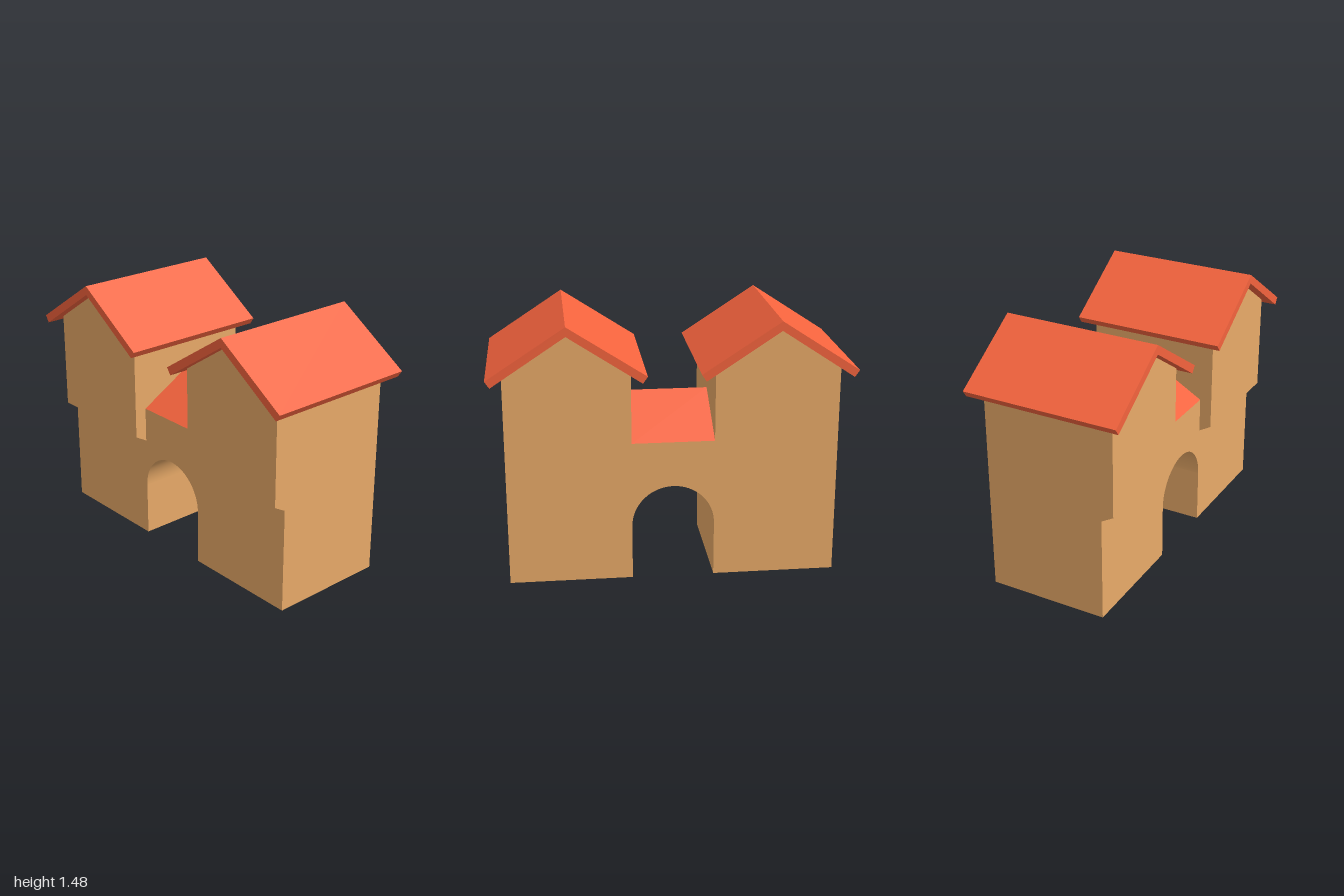
import * as THREE from 'three';
import { toCreasedNormals } from 'three/addons/utils/BufferGeometryUtils.js';

const wall = new THREE.MeshStandardMaterial({ color: 0xe8aa68 });
const tile = new THREE.MeshStandardMaterial({ color: 0xf4633d });

const BACK = -0.38, FRONT = 0.38, LOWER_FRONT = 0.31;
const INNER = 0.229, OUTER = 0.915, MID = (INNER + OUTER) / 2;

const toShape = (points) => new THREE.Shape(points.map(([x, y]) => new THREE.Vector2(x, y)));

// Extrudes an (x, y) outline from z0 to z1
function alongZ(shape, z0, z1) {
  return new THREE.ExtrudeGeometry(shape, { depth: z1 - z0, bevelEnabled: false, curveSegments: 32 })
    .translate(0, 0, z0);
}

// Extrudes a (z, y) outline from x0 to x1
function alongX(shape, x0, x1) {
  return new THREE.ExtrudeGeometry(shape, { depth: x1 - x0, bevelEnabled: false })
    .rotateY(-Math.PI / 2).translate(x1, 0, 0);
}

function add(parent, name, geometry, material) {
  const mesh = new THREE.Mesh(geometry, material);
  mesh.name = name;
  parent.add(mesh);
}

function makeTower(name, side) {
  const tower = new THREE.Group();
  tower.name = name;
  tower.position.x = side * MID;
  const h = (OUTER - INNER) / 2;

  // Lower storey, with the sloped underside of the jetty at its front
  add(tower, 'lowerStorey', alongX(toShape([
    [BACK, 0], [LOWER_FRONT, 0], [LOWER_FRONT, 0.6], [FRONT, 0.64], [BACK, 0.64],
  ]), -h, h), wall);

  // Upper storey with gable ends
  add(tower, 'upperStorey', alongZ(toShape([
    [-h, 0.64], [h, 0.64], [h, 1.2], [0, 1.425], [-h, 1.2],
  ]), BACK, FRONT), wall);

  // Overhanging roof slab bent over the ridge
  add(tower, 'gableRoof', alongZ(toShape([
    [0, 1.477], [-0.428, 1.197], [-0.402, 1.159], [0, 1.425], [0.402, 1.159], [0.428, 1.197],
  ]), -0.447, 0.447), tile);
  return tower;
}

export function createModel() {
  const model = new THREE.Group();
  model.name = 'gatehouse';
  model.add(makeTower('leftTower', 1), makeTower('rightTower', -1));

  // Wall over the arched passage
  const arch = toShape([[INNER, 0.314], [INNER, 0.8], [-INNER, 0.8], [-INNER, 0.314]]);
  arch.absarc(0, 0.314, INNER, Math.PI, 0, true);
  add(model, 'archWall', toCreasedNormals(alongZ(arch, BACK, LOWER_FRONT), 0.5), wall);

  // Ridged roof between the towers
  add(model, 'passageRoof', alongX(toShape([
    [BACK, 0.8], [LOWER_FRONT, 0.8], [(BACK + LOWER_FRONT) / 2, 1.0],
  ]), -INNER, INNER), tile);

  return model;
}
